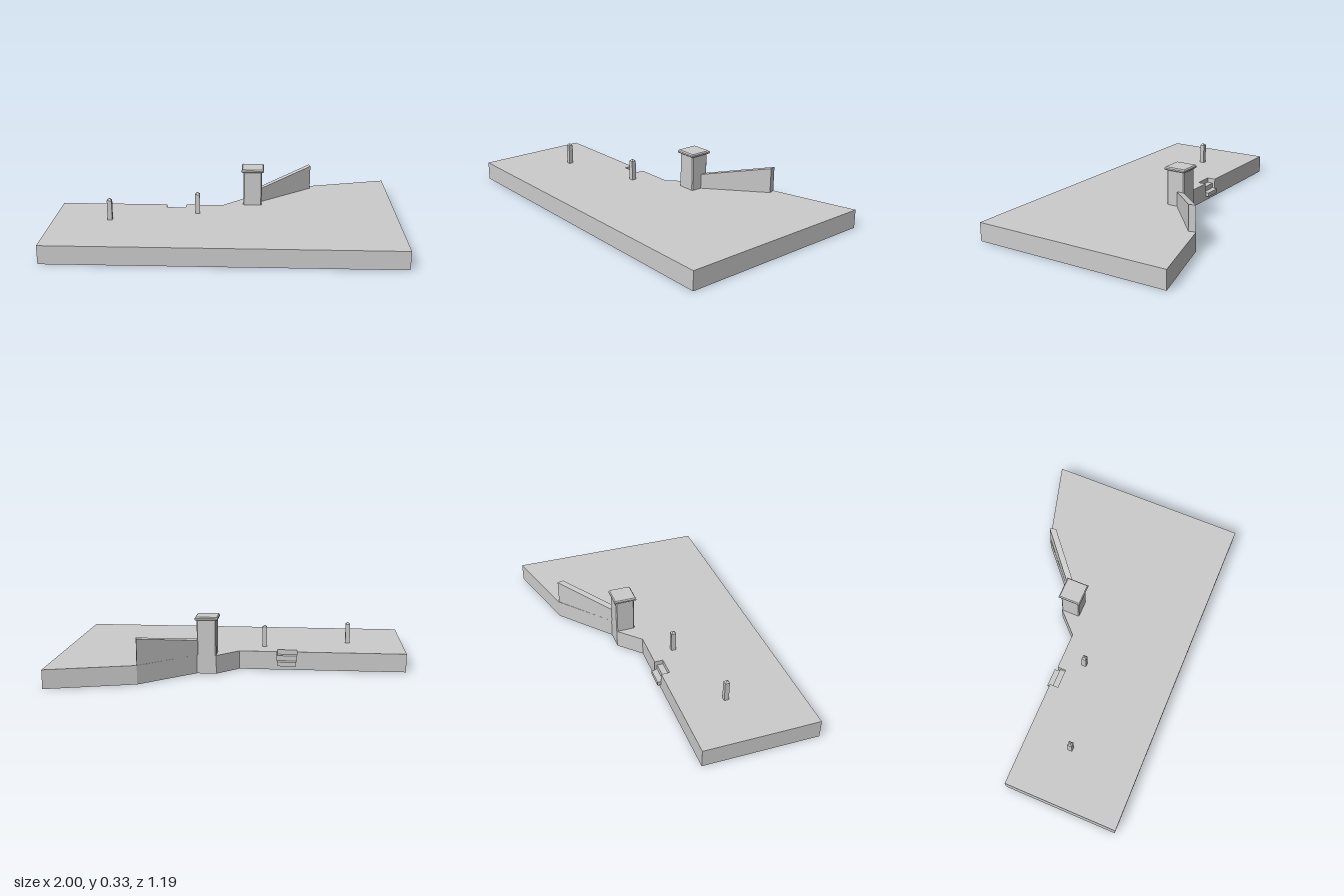
import * as THREE from 'three';

const material = new THREE.MeshStandardMaterial({ color: 0xcccccc, flatShading: true });

// Extrude a plan outline of [x, z] points upwards from y0 to y1
function prism(points, y0, y1) {
  const shape = new THREE.Shape(points.map(([x, z]) => new THREE.Vector2(x, -z)));
  const geo = new THREE.ExtrudeGeometry(shape, { depth: y1 - y0, bevelEnabled: false });
  return geo.rotateX(-Math.PI / 2).translate(0, y0, 0);
}

function box(x0, x1, y0, y1, z0, z1) {
  return new THREE.BoxGeometry(x1 - x0, y1 - y0, z1 - z0)
    .translate((x0 + x1) / 2, (y0 + y1) / 2, (z0 + z1) / 2);
}

// Square frustum, given as full widths at the bottom and the top
function frustum(bottom, top, height, y0) {
  return new THREE.CylinderGeometry(top / Math.SQRT2, bottom / Math.SQRT2, height, 4)
    .rotateY(Math.PI / 4).translate(0, y0 + height / 2, 0);
}

export function createModel() {
  const model = new THREE.Group();
  const add = (name, geometry, parent = model) => {
    const mesh = new THREE.Mesh(geometry, material);
    mesh.name = name;
    parent.add(mesh);
    return mesh;
  };
  const ground = 0.108;

  // Ground slab with a notch for the steps in its back edge
  const stepL = -0.25, stepR = -0.365;
  add('groundSlab', prism([
    [-1, 0.597], [1, 0.597], [1, -0.597], [0.507, -0.463], [0.208, -0.203],
    [0.096, -0.203], [-0.028, -0.08], [stepL, -0.08], [stepL, -0.03],
    [stepR, -0.03], [stepR, -0.08], [-1, -0.08],
  ], 0, ground));

  // Two steps leading down at the back
  add('upperStep', box(stepR, stepL, 0, 0.08, -0.065, -0.03));
  add('stepBase', box(stepR, stepL, 0, 0.05, -0.08, -0.065));
  add('lowerStep', box(stepR + 0.004, stepL - 0.004, 0.025, 0.05, -0.1, -0.08));

  // Square pier with chamfered corners and a capstone
  const pier = new THREE.Group();
  pier.name = 'pier';
  pier.position.set(0.152, 0, -0.147);
  const h = 0.056, c = 0.006;
  add('pierShaft', prism([
    [-h, h - c], [-h + c, h], [h - c, h], [h, h - c],
    [h, -h + c], [h - c, -h], [-h + c, -h], [-h, -h + c],
  ], ground, 0.318), pier);
  add('pierCapUnderside', frustum(0.124, 0.133, 0.004, 0.314), pier);
  add('pierCap', frustum(0.133, 0.133, 0.008, 0.318), pier);
  add('pierCapTop', frustum(0.133, 0.122, 0.007, 0.326), pier);
  model.add(pier);

  // Wing wall whose top rises away from the pier
  const wall = prism([[0.2, -0.15], [0.517, -0.422], [0.507, -0.46], [0.2, -0.196]], ground, 0.2);
  const p = wall.attributes.position;
  for (let i = 0; i < p.count; i++) {
    if (p.getY(i) > 0.15) p.setY(i, p.getX(i) < 0.3 ? 0.193 : 0.256);
  }
  wall.computeVertexNormals();
  add('wingWall', wall);

  // Bollards with pointed tops
  for (const [x, z] of [[-0.67, 0.185], [-0.17, 0.06]]) {
    const post = new THREE.Group();
    post.name = 'bollard';
    post.position.set(x, 0, z);
    add('bollardShaft', box(-0.0135, 0.0135, ground, 0.226, -0.0135, 0.0135), post);
    add('bollardTop', frustum(0.027, 0.004, 0.011, 0.226), post);
    model.add(post);
  }
  return model;
}
